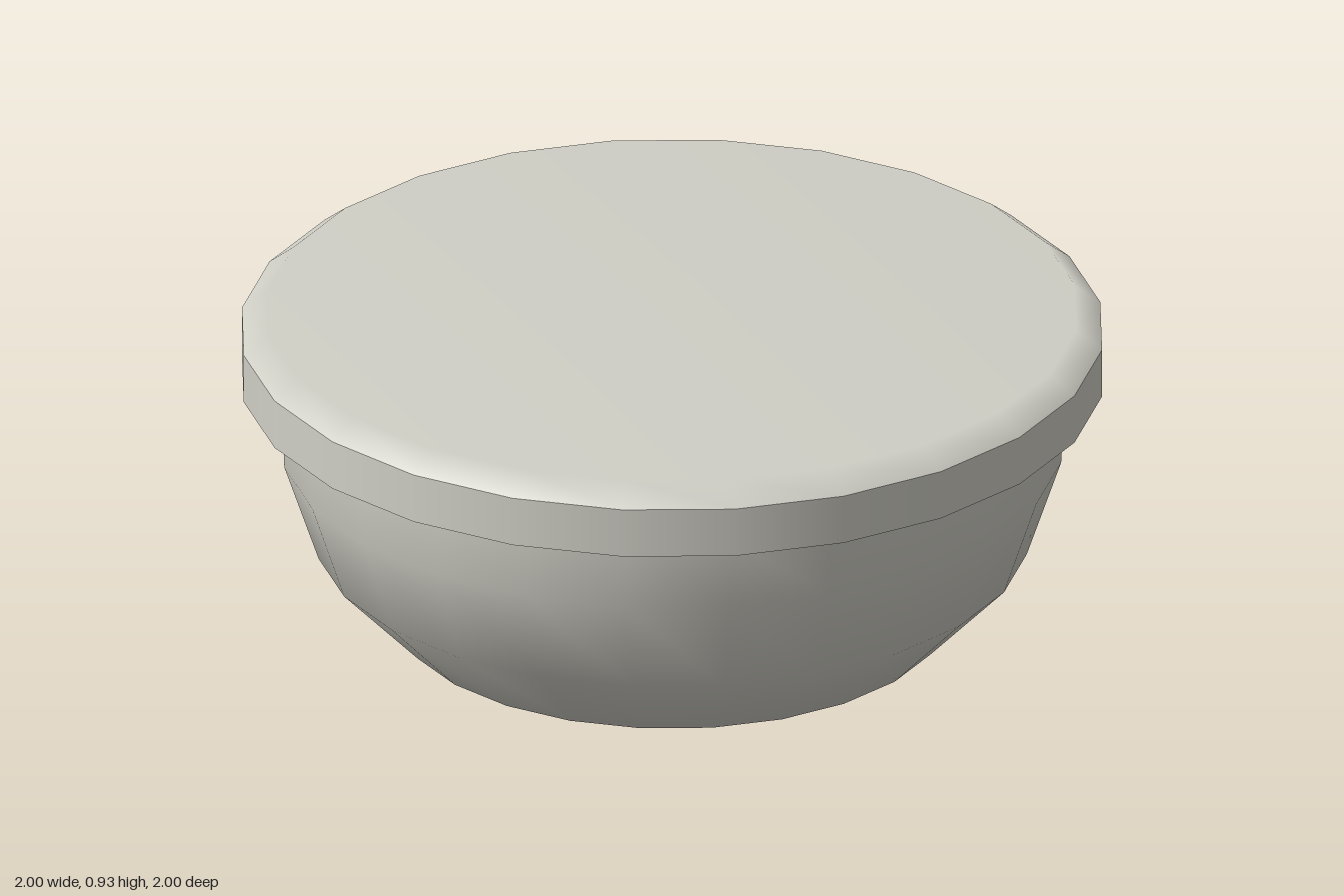
import * as THREE from 'three';

export function createModel() {
  const group = new THREE.Group();
  const stone = new THREE.MeshStandardMaterial({ color: 0xd0cfc6 });
  stone.name = 'pale stone';

  // Turned part from a profile running bottom to top on its outer side
  const turned = (name, profile) => {
    const points = profile.map(([r, y]) => new THREE.Vector2(r, y));
    const mesh = new THREE.Mesh(new THREE.LatheGeometry(points, 24), stone);
    mesh.name = name;
    group.add(mesh);
  };

  // Rounded, smooth body
  turned('bowl', [
    [0, 0], [0.12, 0.007], [0.38, 0.053], [0.64, 0.16],
    [0.825, 0.352], [0.905, 0.59], [0.91, 0.765],
  ]);

  // Overhanging lid: separate pieces keep its edges sharp
  turned('lidUnderside', [[0.9, 0.763], [1, 0.763]]);
  turned('lidBand', [[1, 0.763], [1, 0.882]]);
  turned('lidTop', [[1, 0.882], [0.94, 0.929], [0, 0.929]]);

  return group;
}
